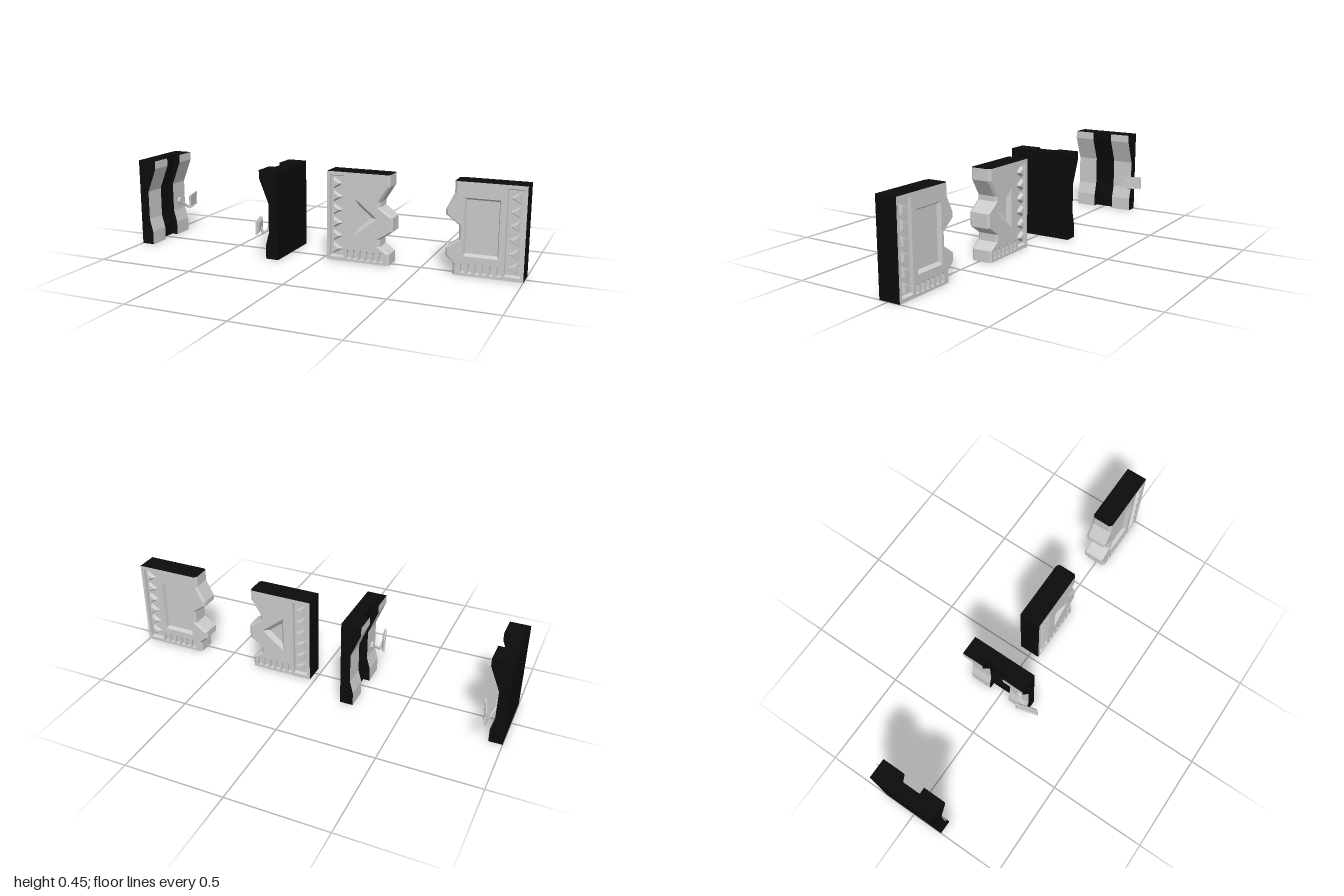
import * as THREE from 'three';

const grey = new THREE.MeshStandardMaterial({ color: 0xcccccc, flatShading: true, side: THREE.DoubleSide });
const black = new THREE.MeshStandardMaterial({ color: 0x0c0c0c, flatShading: true, side: THREE.DoubleSide });

function add(parent, name, geometry, material = grey) {
  const mesh = new THREE.Mesh(geometry, material);
  mesh.name = name;
  parent.add(mesh);
  return mesh;
}

// Faceted surface through rows of [x, y, z] points
function surface(rows) {
  const pos = [];
  for (let i = 0; i + 1 < rows.length; i++) {
    for (let j = 0; j + 1 < rows[i].length; j++) {
      const a = rows[i][j], b = rows[i][j + 1], c = rows[i + 1][j + 1], d = rows[i + 1][j];
      pos.push(...a, ...b, ...c, ...a, ...c, ...d);
    }
  }
  const g = new THREE.BufferGeometry();
  g.setAttribute('position', new THREE.Float32BufferAttribute(pos, 3));
  g.computeVertexNormals();
  return g;
}

const toShape = (pts) => new THREE.Shape(pts.map(([x, y]) => new THREE.Vector2(x, y)));

// ---------- Gate pillars ----------
// [depth, height] of the waisted legs
const LEG = [[0.067, 0], [0.067, 0.07], [0.05, 0.135], [0.05, 0.285], [0.1, 0.41], [0.1, 0.45]];

function pillar() {
  const g = new THREE.Group();
  const w = 0.17, n = 0.058, cut = 0.033;
  // Hollow shell, open underneath
  add(g, 'pillarShell', surface(LEG.map(([d, y]) => [[d, y, -w], [0, y, -w], [0, y, w], [d, y, w]])), black);
  add(g, 'pillarGroove', surface(LEG.map(([d, y]) =>
    [[d, y, -n], [d - cut, y, -n], [d - cut, y, n], [d, y, n]])), black);
  for (const s of [-1, 1]) {
    add(g, 'legFace', surface(LEG.map(([d, y]) => [[d, y, s * w], [d, y, s * n]])));
  }
  for (const [z0, z1, d] of [[-w, -n, 0.1], [-n, n, 0.067], [n, w, 0.1]]) {
    add(g, 'pillarTop', surface([[[0, 0.45, z0], [d, 0.45, z0]], [[0, 0.45, z1], [d, 0.45, z1]]]), black);
  }
  g.add(controlScreen());
  return g;
}

// Small tilted screen on a bent arm
function controlScreen() {
  const g = new THREE.Group();
  g.name = 'controlScreen';
  const mount = add(g, 'screenMount', new THREE.CylinderGeometry(0.016, 0.02, 0.016, 8));
  mount.rotation.z = -Math.PI / 2;
  mount.position.set(0.055, 0.18, -0.115);
  const path = new THREE.CurvePath();
  const pts = [[0.058, 0.175, -0.12], [0.078, 0.128, -0.172], [0.088, 0.17, -0.185]]
    .map((p) => new THREE.Vector3(...p));
  for (let i = 0; i < 2; i++) path.add(new THREE.LineCurve3(pts[i], pts[i + 1]));
  add(g, 'screenArm', new THREE.TubeGeometry(path, 8, 0.007, 5));

  const head = new THREE.Group();
  head.name = 'screenHead';
  head.position.set(0.092, 0.175, -0.19);
  head.rotation.y = 0.27;
  const ring = (x, h, l) => [[x, -h, -l], [x, h, -l], [x, h, l], [x, -h, l], [x, -h, -l]];
  // Bevelled back, rim and recessed display
  add(head, 'screenCase', surface([
    ring(-0.009, 0, 0), ring(-0.009, 0.022, 0.044), ring(0, 0.035, 0.058), ring(0.006, 0.035, 0.058),
    ring(0.006, 0.03, 0.052), ring(0.002, 0.029, 0.051), ring(0.002, 0, 0),
  ]));
  g.add(head);
  return g;
}

// ---------- Interlocking door leaves ----------
const HALF = 0.055, CHAMFER = 0.012;
const TOOTH_Y = [0, 0.057, 0.09, 0.127, 0.17, 0.24, 0.287, 0.312, 0.392, 0.45];
const EDGE_A = [0.325, 0.325, 0.275, 0.275, 0.34, 0.34, 0.275, 0.275, 0.325, 0.325];
const EDGE_B = [0.335, 0.335, 0.372, 0.372, 0.31, 0.31, 0.375, 0.375, 0.335, 0.335];

// Pocket with sloped walls and a flat floor
function pocket(parent, name, pts, depth, shrink) {
  const n = pts.length;
  const cx = pts.reduce((s, p) => s + p[0], 0) / n, cy = pts.reduce((s, p) => s + p[1], 0) / n;
  const floor = pts.map(([x, y]) => [cx + (x - cx) * shrink, cy + (y - cy) * shrink]);
  const loop = (a, z) => [...a, a[0]].map(([x, y]) => [x, y, z]);
  add(parent, name + 'Walls', surface([loop(pts, HALF), loop(floor, HALF - depth)]));
  add(parent, name + 'Floor', new THREE.ShapeGeometry(toShape(floor))).position.z = HALF - depth;
}

function doorFace(edge, emblem, emblemShrink) {
  const g = new THREE.Group();
  g.name = 'doorFace';
  const strip = [[0.016, 0.018], [0.09, 0.018], [0.09, 0.432], [0.016, 0.432]];
  const slots = [];
  for (let i = 0; i < 6; i++) {
    const u = 0.115 + 0.034 * i, r = 0.01;
    slots.push([[u - r, 0.013], [u + r, 0.013], [u + r, 0.05], [u + r / 2, 0.06], [u - r / 2, 0.06], [u - r, 0.05]]);
  }
  // Plate pierced by the pockets
  const plate = toShape([[0, 0.45], [0, 0], ...edge.map((u, i) => [u - CHAMFER, TOOTH_Y[i]])]);
  plate.holes = [strip, emblem, ...slots].map(toShape);
  add(g, 'facePlate', new THREE.ShapeGeometry(plate)).position.z = HALF;
  pocket(g, 'studStrip', strip, 0.018, 0.97);
  pocket(g, 'centrePocket', emblem, 0.02, emblemShrink);
  slots.forEach((s) => pocket(g, 'ventSlot', s, 0.015, 0.85));
  // Row of triangular studs
  for (let i = 0; i < 6; i++) {
    const stud = add(g, 'triangleStud', new THREE.CylinderGeometry(0.019, 0.034, 0.018, 3));
    stud.geometry.rotateX(Math.PI / 2).rotateZ(Math.PI / 2);
    stud.position.set(0.046, 0.06 + i * 0.066, HALF - 0.009);
  }
  return g;
}

function door(edge, emblem, emblemShrink) {
  const g = new THREE.Group();
  const front = doorFace(edge, emblem, emblemShrink);
  const back = front.clone();
  back.scale.z = -1;
  g.add(front, back);
  // Chamfered, toothed closing edge
  const section = (u, y) => [[u - CHAMFER, y, HALF], [u, y, HALF - CHAMFER],
    [u, y, CHAMFER - HALF], [u - CHAMFER, y, -HALF]];
  add(g, 'toothedEdge', surface(edge.map((u, i) => section(u, TOOTH_Y[i]))));
  // Outer side and top, open underneath
  const top = section(edge[9], 0.45);
  add(g, 'outerSide', surface([0, 0.45].map((y) => [[0, y, HALF], [0, y, -HALF]])), black);
  add(g, 'doorTop', surface([top, top.map(([, y, z]) => [0, y, z])]), black);
  return g;
}

export function createModel() {
  const model = new THREE.Group();
  const place = (part, name, x, z, turn) => {
    part.name = name;
    part.position.set(x, 0, z);
    part.rotation.y = turn;
    model.add(part);
  };
  place(pillar(), 'rightPillar', -1, -0.005, 0);
  place(pillar(), 'leftPillar', -0.19, -0.005, Math.PI);
  place(door(EDGE_A, [[0.145, 0.325], [0.145, 0.135], [0.262, 0.23]], 0.6), 'innerDoor', 0.025, -0.008, 0);
  place(door(EDGE_B, [[0.12, 0.375], [0.12, 0.095], [0.285, 0.095], [0.285, 0.375]], 0.92),
    'outerDoor', 1, -0.008, Math.PI);
  return model;
}
